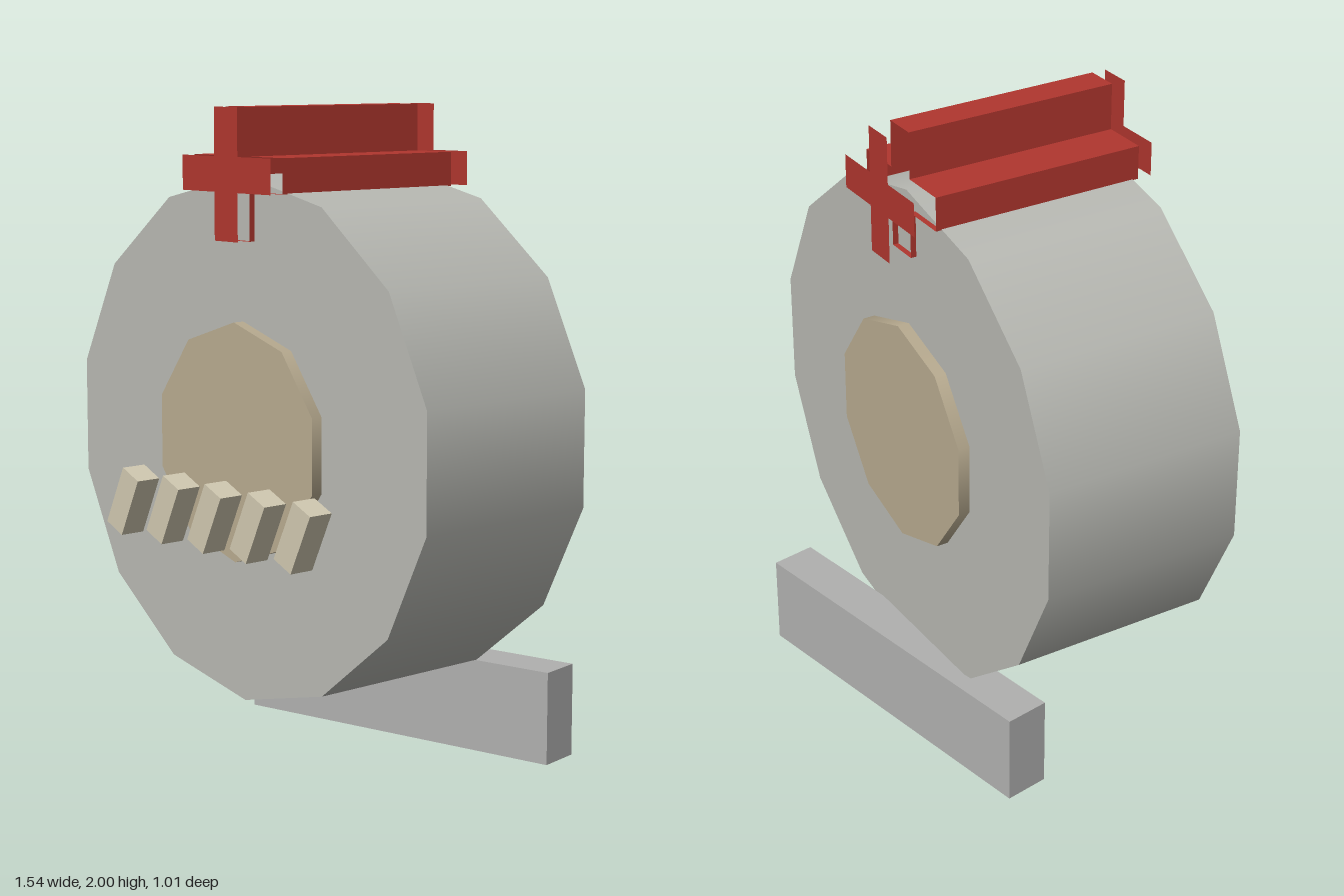
import * as THREE from 'three';

const material = (name, color, side = THREE.FrontSide) => {
  const m = new THREE.MeshStandardMaterial({ color, side });
  m.name = name;
  return m;
};

export function createModel() {
  const model = new THREE.Group();
  const drumGrey = material('drum grey', 0xb8b9b3);
  const baseGrey = material('base grey', 0xb0b0af);
  const hubTan = material('hub tan', 0xb8ab90);
  const slatCream = material('slat cream', 0xd0c8b0);
  const crossRed = material('cross red', 0xb0362e, THREE.DoubleSide);

  const add = (name, geometry, mat, x, y, z) => {
    const mesh = new THREE.Mesh(geometry, mat);
    mesh.name = name;
    mesh.position.set(x, y, z);
    model.add(mesh);
    return mesh;
  };

  // Faceted drum and hub, both lying along z
  const disc = (name, radius, depth, sides, mat) =>
    add(name, new THREE.CylinderGeometry(radius, radius, depth, sides).rotateX(Math.PI / 2), mat, 0, 1.011, 0.027);
  disc('drum', 0.79, 0.648, 14, drumGrey);
  disc('hub', 0.36, 0.722, 10, hubTan);

  // Skewed foot block behind the drum
  add('foot', new THREE.BoxGeometry(1.152, 0.29, 0.143), baseGrey, 0, 0.145, -0.334).rotation.y = Math.PI / 18;

  // Row of slanted slats in front
  for (let i = -2; i <= 2; i++) {
    add('slat', new THREE.BoxGeometry(0.08, 0.196, 0.083), slatCream, -0.009 + i * 0.195, 0.796, 0.46)
      .rotation.z = THREE.MathUtils.degToRad(-25);
  }

  // Cross outline, anticlockwise
  const a = 0.052, w = 0.198, h = 0.195;
  const outline = [
    [a, -h], [a, -a], [w, -a], [w, a], [a, a], [a, h],
    [-a, h], [-a, a], [-w, a], [-w, -a], [-a, -a], [-a, -h],
  ].map(([x, y]) => new THREE.Vector2(x, y));

  // Open-ended cross-shaped tube
  const front = 0.37, back = -0.315;
  const positions = [];
  outline.forEach((p, i) => {
    const q = outline[(i + 1) % outline.length];
    positions.push(
      p.x, p.y, front, p.x, p.y, back, q.x, q.y, back,
      p.x, p.y, front, q.x, q.y, back, q.x, q.y, front);
  });
  const walls = new THREE.BufferGeometry();
  walls.setAttribute('position', new THREE.Float32BufferAttribute(positions, 3));
  walls.computeVertexNormals();
  add('crossTube', walls, crossRed, 0, 1.805, 0);

  // Thin cross plates floating just beyond each end of the tube
  const plate = new THREE.ShapeGeometry(new THREE.Shape(outline));
  add('crossPlateFront', plate, crossRed, 0, 1.805, 0.415);
  add('crossPlateBack', plate, crossRed, 0, 1.805, -0.385).rotation.y = Math.PI;

  return model;
}
